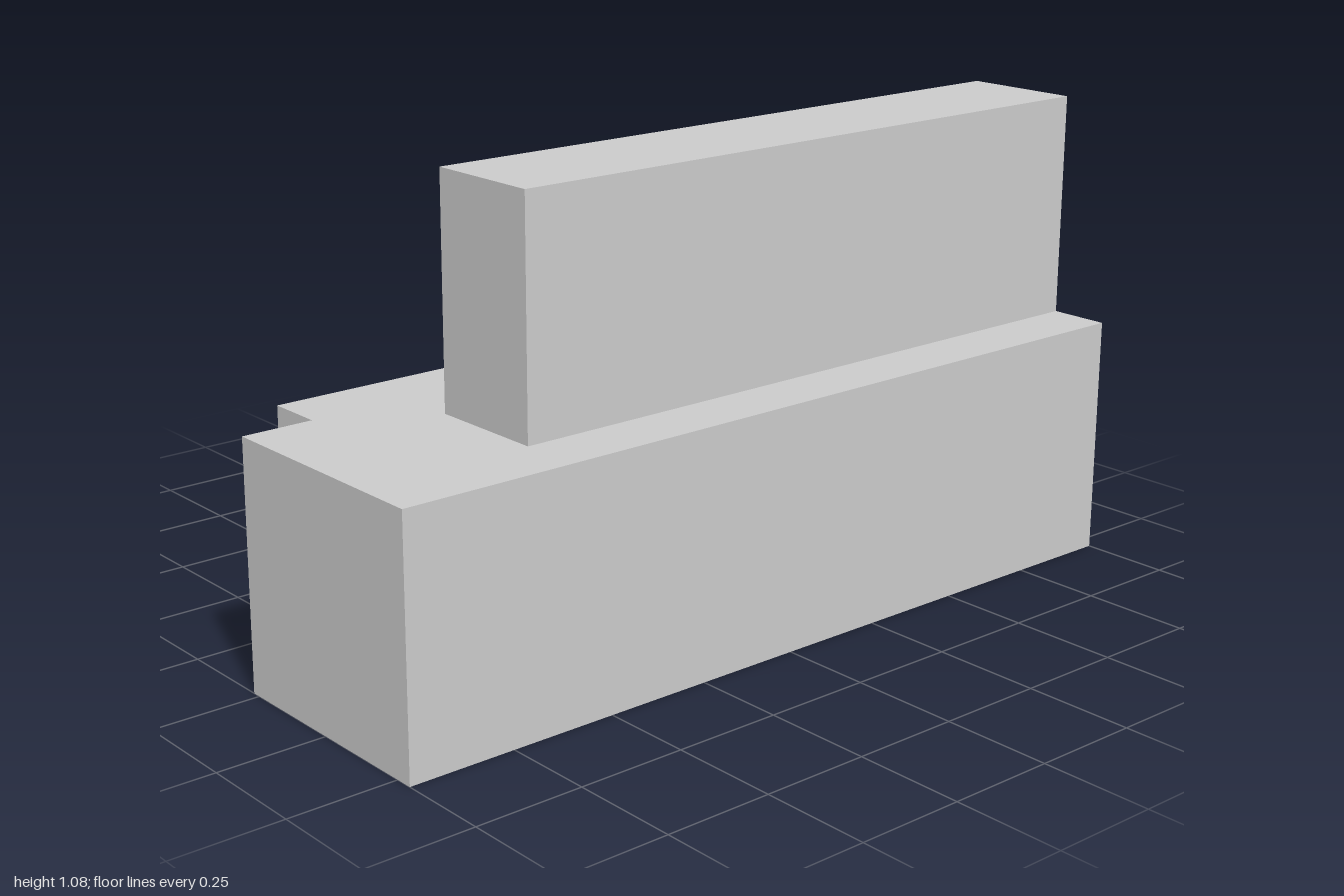
import * as THREE from 'three';

const material = new THREE.MeshStandardMaterial({ color: 0xcccccc, flatShading: true });

// Box given by its [min, max] extent along each axis
function block(name, [x0, x1], [y0, y1], [z0, z1]) {
  const mesh = new THREE.Mesh(new THREE.BoxGeometry(x1 - x0, y1 - y0, z1 - z0), material);
  mesh.position.set((x0 + x1) / 2, (y0 + y1) / 2, (z0 + z1) / 2);
  mesh.name = name;
  return mesh;
}

export function createModel() {
  const group = new THREE.Group();
  group.name = 'steppedBar';

  const fullLength = [-1, 1];
  const ribLength = [-1, 0.6]; // ribs are flush at the back and stop short of the front

  group.add(
    block('mainBar', [-0.02, 0.54], [0, 0.56], fullLength),
    block('topRib', [0.12, 0.4], [0.56, 1.08], ribLength),
    block('sideRib', [-0.54, -0.02], [0.14, 0.42], ribLength),
  );
  return group;
}
